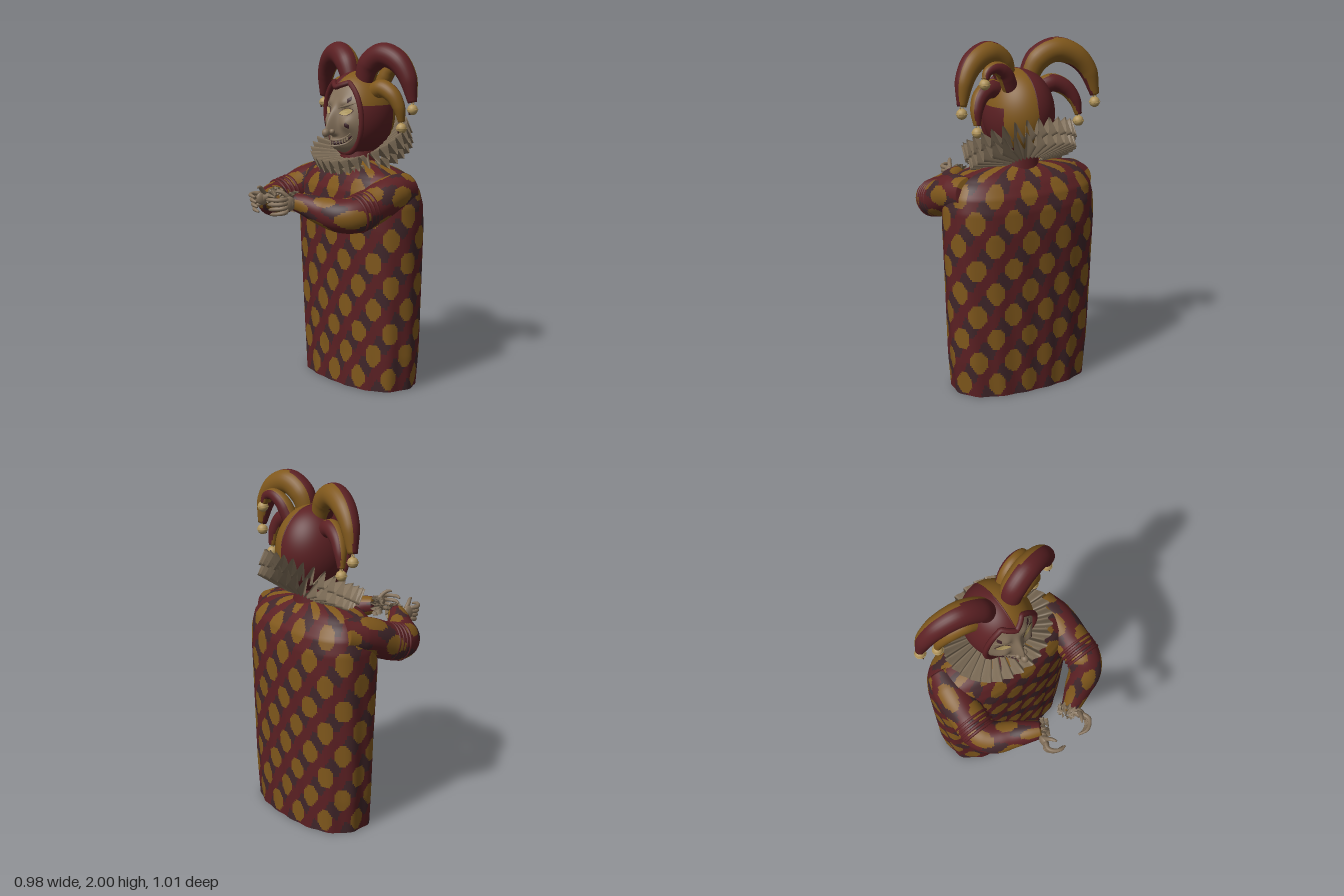
import * as THREE from 'three';

const mat = (name, color, side = THREE.DoubleSide) => {
  const m = new THREE.MeshStandardMaterial({ color, side });
  m.name = name;
  return m;
};
const red = mat('wine red cloth', 0x5b2023);
const gold = mat('ochre cloth', 0x80581c);
const dark = mat('plum cloth', 0x40262a);
const cream = mat('ruff linen', 0x81705a);
const skin = mat('skin', 0x83705a, THREE.FrontSide);
const brass = mat('bell brass', 0xb0945a, THREE.FrontSide);
const eyeYellow = mat('eye yellow', 0xb8a166);
const paint = mat('face paint', 0x3c2126);
const CLOTH = [red, gold, dark];

const V = (x, y, z) => new THREE.Vector3(x, y, z);
const { clamp, lerp, smoothstep } = THREE.MathUtils;

function add(parent, name, geo, material, pos = [0, 0, 0]) {
  const m = new THREE.Mesh(geo, material);
  m.name = name;
  m.position.set(...pos);
  parent.add(m);
  return m;
}

// Grid surface closed around u; pick(u, v, p) gives each cell a material index (-1 leaves a hole)
function surface(fn, nu, nv, pick = () => 0) {
  const pts = [], lists = [[], [], []];
  for (let j = 0; j <= nv; j++) for (let i = 0; i < nu; i++) pts.push(fn(i / nu, j / nv));
  for (let j = 0; j < nv; j++) for (let i = 0; i < nu; i++) {
    const k = (i + 1) % nu;
    const a = j * nu + i, b = j * nu + k, c = b + nu, d = a + nu;
    const mid = pts[a].clone().add(pts[b]).add(pts[c]).add(pts[d]).multiplyScalar(0.25);
    const m = pick((i + 0.5) / nu, (j + 0.5) / nv, mid);
    if (m >= 0) lists[m].push(a, b, c, a, c, d);
  }
  const g = new THREE.BufferGeometry().setFromPoints(pts);
  g.setIndex(lists.flat());
  let start = 0;
  lists.forEach((l, m) => { if (l.length) g.addGroup(start, l.length, m); start += l.length; });
  g.computeVertexNormals();
  return g;
}

// Tapered tube with closed ends; pick also receives the centre line point
function sweep(points, radii, nu, nv, pick = () => 0) {
  const curve = new THREE.CatmullRomCurve3(points.map(p => V(...p)));
  const frames = curve.computeFrenetFrames(nv, false);
  const at = v => clamp((v * nv - 1) / (nv - 2), 0, 1);
  return surface((u, v) => {
    const t = at(v), f = t * (radii.length - 1), k = Math.min(Math.floor(f), radii.length - 2);
    const r = v === 0 || v === 1 ? 0 : lerp(radii[k], radii[k + 1], f - k);
    const n = Math.round(t * nv), a = u * Math.PI * 2;
    return curve.getPointAt(t)
      .addScaledVector(frames.normals[n], r * Math.cos(a))
      .addScaledVector(frames.binormals[n], r * Math.sin(a));
  }, nu, nv, (u, v, p) => pick(u, at(v), p, curve.getPointAt(at(v))));
}

// Motley cloth: diagonal chains of ochre hexagons and plum lozenges on red
function motley(s, t) {
  const cell = (x, y) => {
    const j = Math.round(y / 0.137), dx = x - 0.1 * j;
    return [dx - 0.2 * Math.round(dx / 0.2), y - 0.137 * j];
  };
  let [x, y] = cell(s, t);
  if (Math.abs(x) < 0.049 && Math.abs(y) < 0.064 && Math.abs(x) / 0.049 + Math.abs(y) / 0.064 < 1.38) return 1;
  [x, y] = cell(s - 0.05, t - 0.0685);
  return Math.abs(x - 0.4 * y) < 0.05 && Math.abs(y + 0.3 * x) < 0.053 ? 2 : 0;
}

// Robe, open at the hem
function robe(g) {
  const sup = c => Math.sign(c) * Math.abs(c) ** 0.82;
  const loop = [];
  for (let i = 0; i < 64; i++) {
    const a = i / 64 * Math.PI * 2;
    loop.push(V(0.46 * sup(Math.cos(a)), 0, -0.245 * sup(Math.sin(a))));
  }
  const nu = 240, outline = new THREE.CatmullRomCurve3(loop, true).getSpacedPoints(nu);
  // height, half width, front z, back z
  const rows = [[0, .415, 0, -.44], [.2, .435, .0, -.445], [.6, .45, .015, -.455], [.95, .462, .03, -.465],
    [1.08, .46, .03, -.46], [1.16, .445, .02, -.44], [1.22, .41, -.005, -.4], [1.265, .35, -.04, -.355],
    [1.29, .26, -.08, -.32], [1.31, .12, -.13, -.28], [1.33, .07, -.16, -.25]];
  const point = (u, y) => {
    let k = 0;
    while (k < rows.length - 2 && rows[k + 1][0] < y) k++;
    const f = (y - rows[k][0]) / (rows[k + 1][0] - rows[k][0]);
    const [a, zf, zb] = [1, 2, 3].map(c => lerp(rows[k][c], rows[k + 1][c], f));
    const o = outline[Math.round(u * nu) % nu];
    const fold = 1 + 0.014 * Math.sin(u * Math.PI * 2 * 15 + y * 2) * clamp(1.25 - y, 0, 1);
    return V(o.x / 0.46 * a * fold, y, (zf + zb) / 2 + o.z / 0.245 * (zf - zb) / 2 * fold);
  };
  add(g, 'robe', surface((u, v) => point(u, v * 1.33), nu, 110,
    (u, v, p) => motley(u * 2.2 - 1.69, p.y - .9)), CLOTH);
}

// Pleated collar around the local y axis
function ruff(inner, outer, pleats, amp, drop, phase = 0) {
  return surface((u, v) => {
    const a = u * Math.PI * 2, wave = Math.sin(a * pleats + phase), r = inner + (outer - inner) * v;
    return V(r * Math.cos(a), amp * wave * (0.15 + 0.85 * v) - drop * (1 - v), -r * Math.sin(a));
  }, pleats * 8, 5);
}

function arm(g, s) {
  const m = pts => pts.map(([x, y, z]) => [x * s, y, z]);
  const path = [[.35, 1.175, -.28], [.375, 1.145, -.12], [.378, 1.095, .0], [.378, 1.065, .1], [.335, 1.06, .175],
    [.24, 1.08, .235], [.155, 1.11, .29], [.1, 1.122, .322]];
  add(g, 'sleeve', sweep(m(path), [.09, .106, .106, .105, .1, .088, .07, .05], 56, 80,
    (u, v) => motley(u * 0.6, v * 0.72)), CLOTH);
  // gathered cloth at the elbow
  for (let i = 0; i < 4; i++) {
    const fold = add(g, 'elbowFold', new THREE.TorusGeometry(0.101, 0.009, 8, 32), red,
      [s * 0.377, 1.088 - i * 0.007, 0.025 + i * 0.026]);
    fold.rotation.x = 0.2;
  }
  for (let i = 0; i < 2; i++) {
    const cuff = add(g, 'cuffFrill', ruff(.02, .06 - i * .008, 11, .014, -.01, i * 2), cream,
      [s * (.09 - i * .02), 1.122, .32 + i * .01]);
    cuff.quaternion.setFromUnitVectors(V(0, 1, 0), V(-s * .85, .1, .5).normalize());
  }
  // hand with curled fingers
  add(g, 'wrist', sweep(m([[.085, 1.122, .325], [.115, 1.125, .352], [.132, 1.12, .385]]), [.027, .024, .026], 12, 10), skin);
  const palm = add(g, 'palm', new THREE.SphereGeometry(1, 16, 12), skin, [s * .133, 1.12, .385]);
  palm.scale.set(.02, .042, .042);
  for (let i = 0; i < 4; i++) {
    const y = 1.148 - i * .02, d = i * .008;
    add(g, 'finger', sweep(m([[.135, y, .4], [.146, y - d * .4, .438 - d], [.124, y - d * .8, .472 - d],
      [.09, y - d, .488 - d], [.06, y - d * 1.1 - .005, .483 - d]]), [.012, .013, .011, .011, .006], 10, 14), skin);
  }
  add(g, 'thumb', sweep(m([[.125, 1.145, .375], [.118, 1.172, .4], [.105, 1.188, .42], [.09, 1.19, .445]]),
    [.013, .013, .011, .006], 10, 12), skin);
}

// Depth of the face, with its nose ridge, at a point seen from the front
function faceZ(x, y) {
  const q = 1 - (x / .182) ** 2 - ((y - 1.57) / .225) ** 2, ax = Math.abs(x);
  const bump = (cx, cy, r, h) => h * Math.exp(-(((ax - cx) ** 2 + (y - cy) ** 2) / (r * r)));
  const nose = .062 * (1 - smoothstep(y, 1.5, 1.69)) * smoothstep(y, 1.452, 1.482);
  return -.17 + .14 * Math.sqrt(Math.max(q, 0)) + bump(.09, 1.53, .04, .02) + bump(0, 1.395, .045, .06)
    + bump(.08, 1.605, .03, -.014) + bump(.06, 1.655, .03, .012) + bump(0, 1.46, .06, .014)
    + nose * Math.exp(-((x / .024) ** 2));
}

function face(g) {
  add(g, 'face', surface((u, v) => {
    const a = u * Math.PI * 2, x = .176 * v * Math.sin(a) * (1 - .18 * v * Math.max(0, -Math.cos(a)));
    const y = 1.57 + .22 * v * Math.cos(a);
    return V(x, y, faceZ(x, y));
  }, 80, 36), skin);
  const tip = add(g, 'noseTip', new THREE.SphereGeometry(.021, 16, 12), skin, [0, 1.481, .034]);
  tip.scale.set(1, 1.15, 1.1);
  // thin patches that follow the face
  const patch = (name, cx, cy, rx, ry, tilt, power, material) => add(g, name, surface((u, v) => {
    const a = u * Math.PI * 2, c = Math.cos(a), n = Math.sin(a);
    const px = rx * v * Math.sign(c) * Math.abs(c) ** power, py = ry * v * Math.sign(n) * Math.abs(n) ** power;
    const x = cx + px * Math.cos(tilt) - py * Math.sin(tilt), y = cy + px * Math.sin(tilt) + py * Math.cos(tilt);
    return V(x, y, faceZ(x, y) + .003 + .004 * (1 - v));
  }, 24, 5), material);
  const along = (f, n) => Array.from({ length: n }, (_, i) => f(i / (n - 1) * 2 - 1));
  for (const s of [-1, 1]) {
    add(g, 'nostril', new THREE.SphereGeometry(.016, 12, 10), skin, [s * .022, 1.488, .004]);
    patch('eyeRim', s * .083, 1.602, .045, .022, s * .25, 1.3, paint);
    patch('eye', s * .083, 1.602, .042, .019, s * .25, 1.3, eyeYellow).position.z = .003;
    patch('browDiamond', s * .095, 1.672, .012, .019, s * -.3, 1.7, paint);
    patch('cheekDiamond', s * .102, 1.525, .013, .019, s * .3, 1.7, paint);
    add(g, 'brow', sweep(along(t => {
      const x = s * (.08 + t * .05), y = 1.638 + t * .016;
      return [x, y, faceZ(x, y) - .004];
    }, 5), [.004, .009, .004], 8, 12), skin);
  }
  // wide toothy grin
  const grin = (t, lift) => {
    const x = t * .105, y = 1.418 + .048 * t * t + lift;
    return [x, y, faceZ(x, y)];
  };
  add(g, 'mouth', sweep(along(t => grin(t, 0), 13), [.003, .01, .012, .01, .003], 10, 40), paint);
  for (const lift of [-.016, .016]) {
    add(g, 'lip', sweep(along(t => grin(t, lift), 13), [.003, .007, .008, .007, .003], 8, 40), skin);
  }
  for (let i = -6; i <= 6; i++) {
    const [x, y, z] = grin(i * .13, 0);
    add(g, 'tooth', new THREE.BoxGeometry(.011, .019, .01), cream, [x, y, z + .008]).rotation.y = x * 5;
  }
}

function hood(g) {
  const C = [0, 1.58, -.21], R = [.196, .25, .22], W = .168;
  add(g, 'hood', surface((u, v) => {
    const a = u * Math.PI * 2, e = (v - .5) * Math.PI;
    return V(R[0] * Math.cos(e) * Math.cos(a), C[1] + R[1] * Math.sin(e), C[2] - R[2] * Math.cos(e) * Math.sin(a));
  }, 120, 80, (u, v, p) => {
    const open = (p.x / W) ** 2 + ((p.y - 1.57) / .215) ** 2 < 1 && p.y < 1.74 + .4 * Math.abs(p.x);
    if (open && p.z > C[2]) return -1;
    return p.x < 0 || (p.y < 1.64 && p.z > -.33) ? 0 : 1;
  }), CLOTH);
  // rolled edge with a peak over the brow
  const edge = [];
  for (let i = 0; i < 60; i++) {
    const a = i / 60 * Math.PI * 2, x = W * Math.sin(a);
    const y = Math.min(1.57 + .215 * Math.cos(a), 1.74 + .4 * Math.abs(x));
    const q = 1 - (x / R[0]) ** 2 - ((y - C[1]) / R[1]) ** 2;
    edge.push(V(x, y, C[2] + R[2] * Math.sqrt(Math.max(q, 0)) + .003));
  }
  add(g, 'hoodEdge', new THREE.TubeGeometry(new THREE.CatmullRomCurve3(edge, true), 160, .016, 8, true), red);
  const seam = [];
  for (let i = 0; i <= 16; i++) {
    const a = .75 + i / 16 * 2.2;
    seam.push(V(0, C[1] + (R[1] - .001) * Math.sin(a), C[2] + (R[2] - .001) * Math.cos(a)));
  }
  add(g, 'hoodSeam', new THREE.TubeGeometry(new THREE.CatmullRomCurve3(seam), 40, .004, 6), red);
}

function horn(g, name, path, radii, front, bell) {
  add(g, name, sweep(path, radii, 28, 48, (u, v, p, c) => (p.z > c.z - .018 ? front : 1 - front)), CLOTH);
  const b = new THREE.Group();
  b.name = name + 'Bell';
  b.position.set(...bell);
  add(b, 'bellBall', new THREE.SphereGeometry(.03, 20, 14), brass);
  add(b, 'bellBand', new THREE.TorusGeometry(.03, .003, 6, 24), brass).rotation.x = Math.PI / 2;
  add(b, 'bellLoop', new THREE.TorusGeometry(.009, .004, 6, 12), brass, [0, .034, 0]);
  add(b, 'bellSlot', new THREE.BoxGeometry(.007, .024, .008), paint, [0, -.016, .023]);
  g.add(b);
}

export function createModel() {
  const g = new THREE.Group();
  g.name = 'jester';
  robe(g);
  for (const s of [-1, 1]) {
    const a = new THREE.Group();
    a.name = s > 0 ? 'leftArm' : 'rightArm';
    arm(a, s);
    g.add(a);
  }
  // two layers of pleated collar, tilted up at the back
  const collar = new THREE.Group();
  collar.name = 'collar';
  collar.position.set(0, 1.4, -.232);
  collar.rotation.x = .5;
  collar.scale.x = 1.16;
  add(collar, 'upperRuff', ruff(.1, .285, 30, .048, .05), cream, [0, .02, 0]);
  add(collar, 'lowerRuff', ruff(.09, .27, 30, .045, .06, 1.6), cream, [0, -.04, 0]);
  g.add(collar);
  add(g, 'neck', new THREE.CylinderGeometry(.1, .12, .16, 24), red, [0, 1.35, -.21]);

  const head = new THREE.Group();
  head.name = 'head';
  face(head);
  hood(head);
  const big = [.055, .07, .07, .063, .05, .026], small = [.05, .052, .046, .036, .02];
  horn(head, 'leftLargeHorn', [[.07, 1.76, -.19], [.11, 1.87, -.2], [.2, 1.925, -.22], [.3, 1.895, -.245],
    [.365, 1.81, -.265], [.395, 1.665, -.28]], big, 0, [.395, 1.625, -.28]);
  horn(head, 'rightLargeHorn', [[-.06, 1.76, -.2], [-.12, 1.87, -.21], [-.22, 1.918, -.23], [-.33, 1.885, -.255],
    [-.41, 1.8, -.275], [-.455, 1.655, -.29]], big, 0, [-.455, 1.61, -.29]);
  horn(head, 'leftSmallHorn', [[.11, 1.7, -.21], [.19, 1.735, -.225], [.26, 1.7, -.245], [.295, 1.63, -.265],
    [.3, 1.55, -.28]], small, 1, [.3, 1.512, -.28]);
  horn(head, 'rightSmallHorn', [[-.11, 1.7, -.22], [-.2, 1.735, -.235], [-.28, 1.7, -.255], [-.33, 1.63, -.275],
    [-.35, 1.55, -.285]], small, 1, [-.35, 1.512, -.285]);
  horn(head, 'backHorn', [[.1, 1.74, -.29], [.15, 1.83, -.31], [.21, 1.865, -.325], [.265, 1.85, -.335],
    [.285, 1.81, -.342]], [.045, .045, .04, .03, .02], 1, [.29, 1.785, -.345]);
  g.add(head);
  return g;
}
